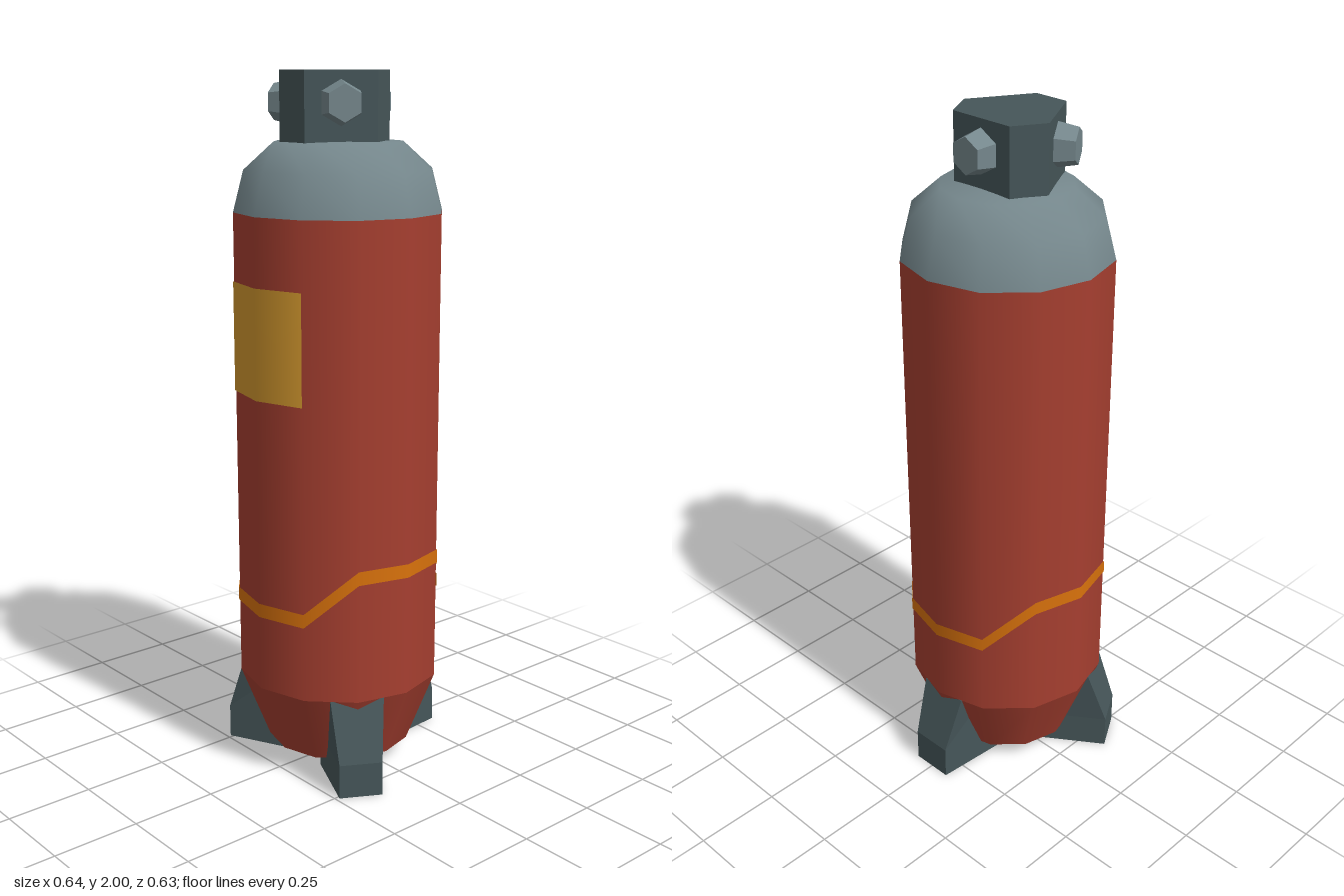
import * as THREE from 'three';

const CENTRE_Z = 0.018; // cylinder axis
const R = 0.296;        // body radius, 12 sides with a corner at the front
const STEP = Math.PI / 6;

function mat(name, color, side = THREE.FrontSide) {
  const m = new THREE.MeshStandardMaterial({ color, side });
  m.name = name;
  return m;
}

function addMesh(parent, name, geometry, material) {
  const m = new THREE.Mesh(geometry, material);
  m.name = name;
  parent.add(m);
  return m;
}

// One hard normal per face
function facet(geometry) {
  const g = geometry.index ? geometry.toNonIndexed() : geometry;
  g.computeVertexNormals();
  return g;
}

// Thin painted skin that follows the body; rows are [side index, lower y, upper y]
function wrap(rows) {
  const r = R + 0.003, pos = [], nor = [], idx = [];
  rows.forEach(([k, low, high], i) => {
    const s = Math.sin(k * STEP), c = Math.cos(k * STEP);
    pos.push(r * s, low, r * c, r * s, high, r * c);
    nor.push(s, 0, c, s, 0, c);
    if (i) {
      const a = 2 * i - 2;
      idx.push(a, a + 2, a + 1, a + 1, a + 2, a + 3);
    }
  });
  const g = new THREE.BufferGeometry();
  g.setAttribute('position', new THREE.Float32BufferAttribute(pos, 3));
  g.setAttribute('normal', new THREE.Float32BufferAttribute(nor, 3));
  g.setIndex(idx);
  return g;
}

// Fin: a box whose three height levels get their own reach and width
function finGeometry() {
  const levels = [
    { y: 0, reach: 0.335, half: 0.062 },
    { y: 0.1, reach: 0.335, half: 0.062 },
    { y: 0.27, reach: 0.278, half: 0.077 },
  ];
  const g = new THREE.BoxGeometry(1, 1, 1, 1, 2, 1);
  const p = g.attributes.position;
  for (let i = 0; i < p.count; i++) {
    const l = levels[Math.round((p.getY(i) + 0.5) * 2)];
    const outer = p.getZ(i) > 0;
    const half = outer ? l.half : 0.08;
    p.setXYZ(i, Math.sign(p.getX(i)) * half, l.y, outer ? l.reach : 0.123);
  }
  return facet(g);
}

export function createModel() {
  const red = mat('red paint', 0xa63f30);
  const grey = mat('light grey metal', 0x75878c);
  const dark = mat('dark grey metal', 0x465659);
  const yellow = mat('yellow label', 0xd2972e, THREE.DoubleSide);
  const orange = mat('orange stripe', 0xd9720c, THREE.DoubleSide);

  const model = new THREE.Group();
  model.name = 'gasCylinder';
  const tank = new THREE.Group();
  tank.name = 'tank';
  tank.position.z = CENTRE_Z;
  model.add(tank);

  // Body and tapered base
  const body = new THREE.CylinderGeometry(R, R, 1.35, 12, 1, true);
  addMesh(tank, 'body', body, red).position.y = 0.945;
  const base = new THREE.CylinderGeometry(R, 0.212, 0.215, 12);
  addMesh(tank, 'taperedBase', base, red).position.y = 0.1625;

  // Rounded shoulder
  const profile = [[R, 1.62], [0.266, 1.735], [0.182, 1.81], [0, 1.822]];
  addMesh(tank, 'shoulder',
    new THREE.LatheGeometry(profile.map(([x, y]) => new THREE.Vector2(x, y)), 12), grey);

  // Painted label and the stripe that climbs at the sides
  addMesh(tank, 'label', wrap([-1, 0, 1].map(k => [k, 1.12, 1.43])), yellow);
  const stripe = [];
  for (let k = 0; k <= 12; k++) {
    const y = [2, 3, 4].includes(k % 6) ? 0.64 : 0.51;
    stripe.push([k, y - 0.02, y + 0.02]);
  }
  addMesh(tank, 'stripe', wrap(stripe), orange);

  // Three fins
  const fin = finGeometry();
  for (const a of [1, 3, 5]) {
    addMesh(tank, 'fin', fin, dark).rotation.y = a * Math.PI / 3;
  }

  // Six-sided valve block
  const outline = [[0.053, 0.183], [0.152, 0.01], [0.1, -0.08],
    [-0.1, -0.08], [-0.152, 0.01], [-0.053, 0.183]];
  const shape = new THREE.Shape(outline.map(([x, z]) => new THREE.Vector2(x, -z)));
  const block = new THREE.ExtrudeGeometry(shape, { depth: 0.195, bevelEnabled: false });
  block.rotateX(-Math.PI / 2);
  addMesh(model, 'valveBlock', block, dark).position.y = 1.805;

  // Outlets on the three long faces of the block
  const outlet = facet(new THREE.CylinderGeometry(0.05, 0.062, 0.06, 6).rotateX(Math.PI / 2));
  for (const a of [1, 3, 5]) {
    const angle = a * Math.PI / 3;
    const m = addMesh(model, 'outlet', outlet, grey);
    m.position.set(0.144 * Math.sin(angle), 1.915, 0.038 + 0.144 * Math.cos(angle));
    m.rotation.y = angle;
  }

  return model;
}
